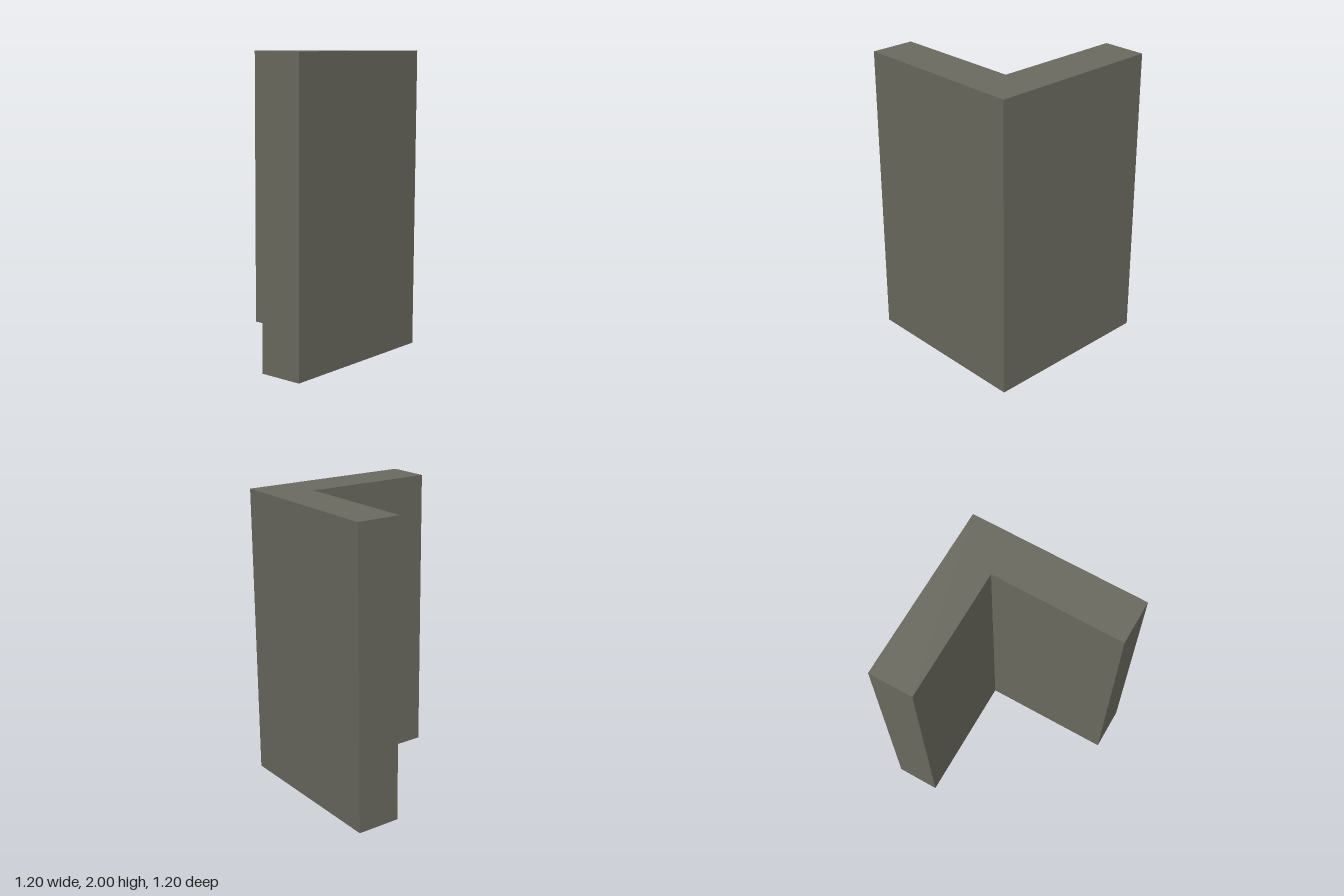
import * as THREE from 'three';

const HALF = 0.6; // half the footprint width
const THICK = 0.3; // wall thickness
const HEIGHT = 2;

export function createModel() {
  const group = new THREE.Group();
  group.name = 'cornerWall';

  // L-shaped footprint; shape y becomes -z once the extrusion stands up
  const inner = HALF - THICK;
  const footprint = new THREE.Shape([
    [-HALF, HALF], [-HALF, inner], [inner, inner],
    [inner, -HALF], [HALF, -HALF], [HALF, HALF],
  ].map(([x, y]) => new THREE.Vector2(x, y)));

  // Back wall and left wall as one solid corner
  const geometry = new THREE.ExtrudeGeometry(footprint, { depth: HEIGHT, bevelEnabled: false });
  geometry.rotateX(-Math.PI / 2);

  const material = new THREE.MeshStandardMaterial({ color: 0x6b6b60 });
  const walls = new THREE.Mesh(geometry, material);
  walls.name = 'cornerWalls';
  group.add(walls);
  return group;
}
